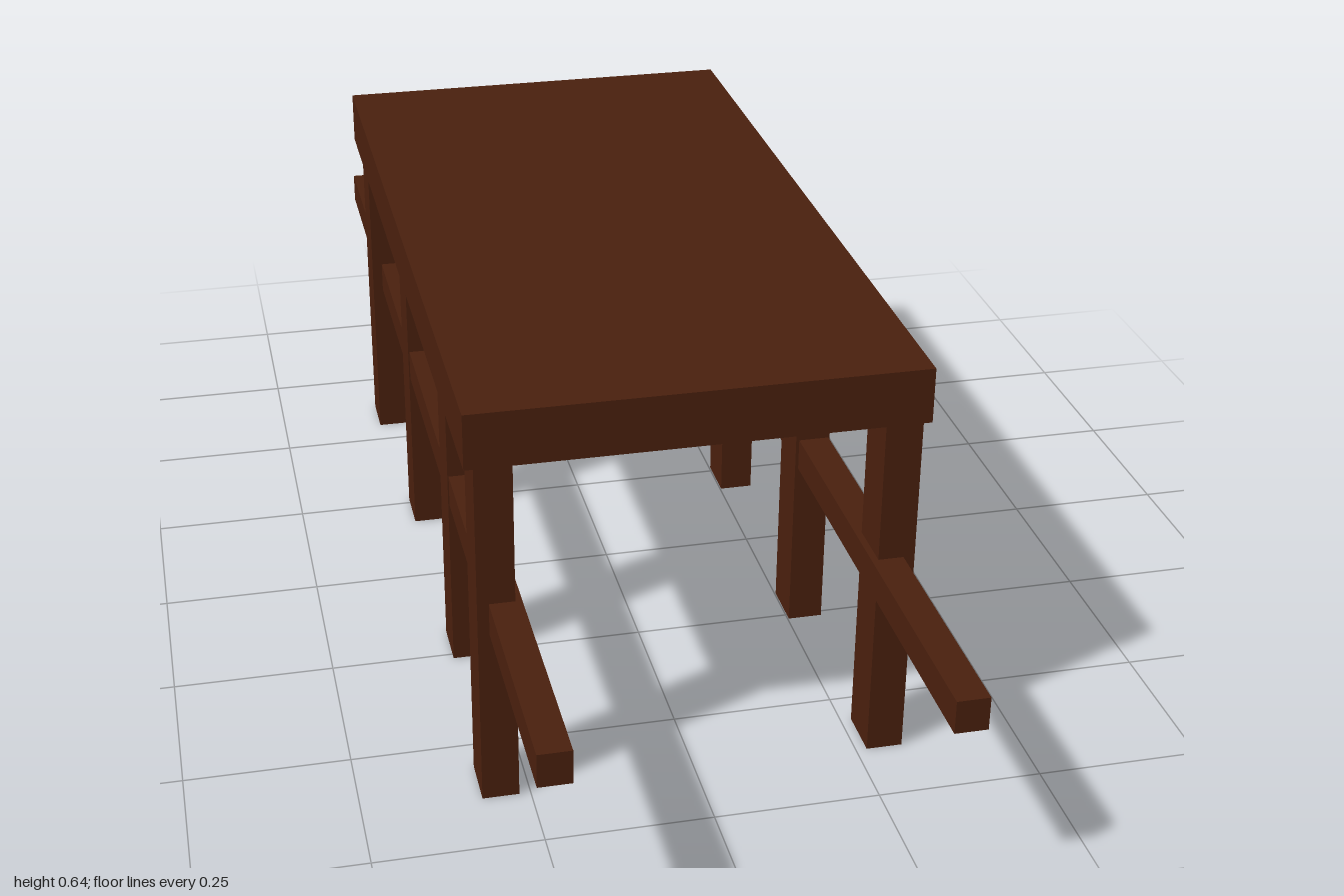
import * as THREE from 'three';

export function createModel() {
  const model = new THREE.Group();
  model.name = 'table';
  const darkWood = new THREE.MeshStandardMaterial({ color: 0x4a200e });
  darkWood.name = 'darkWood';

  // Box given by its size, centre x and z, and bottom height
  function beam(name, w, h, d, x, y, z) {
    const mesh = new THREE.Mesh(new THREE.BoxGeometry(w, h, d), darkWood);
    mesh.name = name;
    mesh.position.set(x, y + h / 2, z);
    model.add(mesh);
  }

  // Thick solid top
  beam('tableTop', 0.67, 0.085, 1.272, 0, 0.552, 0);

  for (const [side, s] of [['left', 1], ['right', -1]]) {
    // Long rail running through the legs and past both ends
    beam(side + 'Rail', 0.048, 0.051, 2, s * 0.281, 0.283, 0);
    for (const [end, e] of [['Front', 1], ['Back', -1]]) {
      // Corner legs sit slightly further out than the middle legs
      beam(side + end + 'CornerLeg', 0.055, 0.552, 0.08, s * 0.2945, 0, e * 0.596);
      beam(side + end + 'MiddleLeg', 0.055, 0.552, 0.08, s * 0.2795, 0, e * 0.222);
    }
  }
  return model;
}
